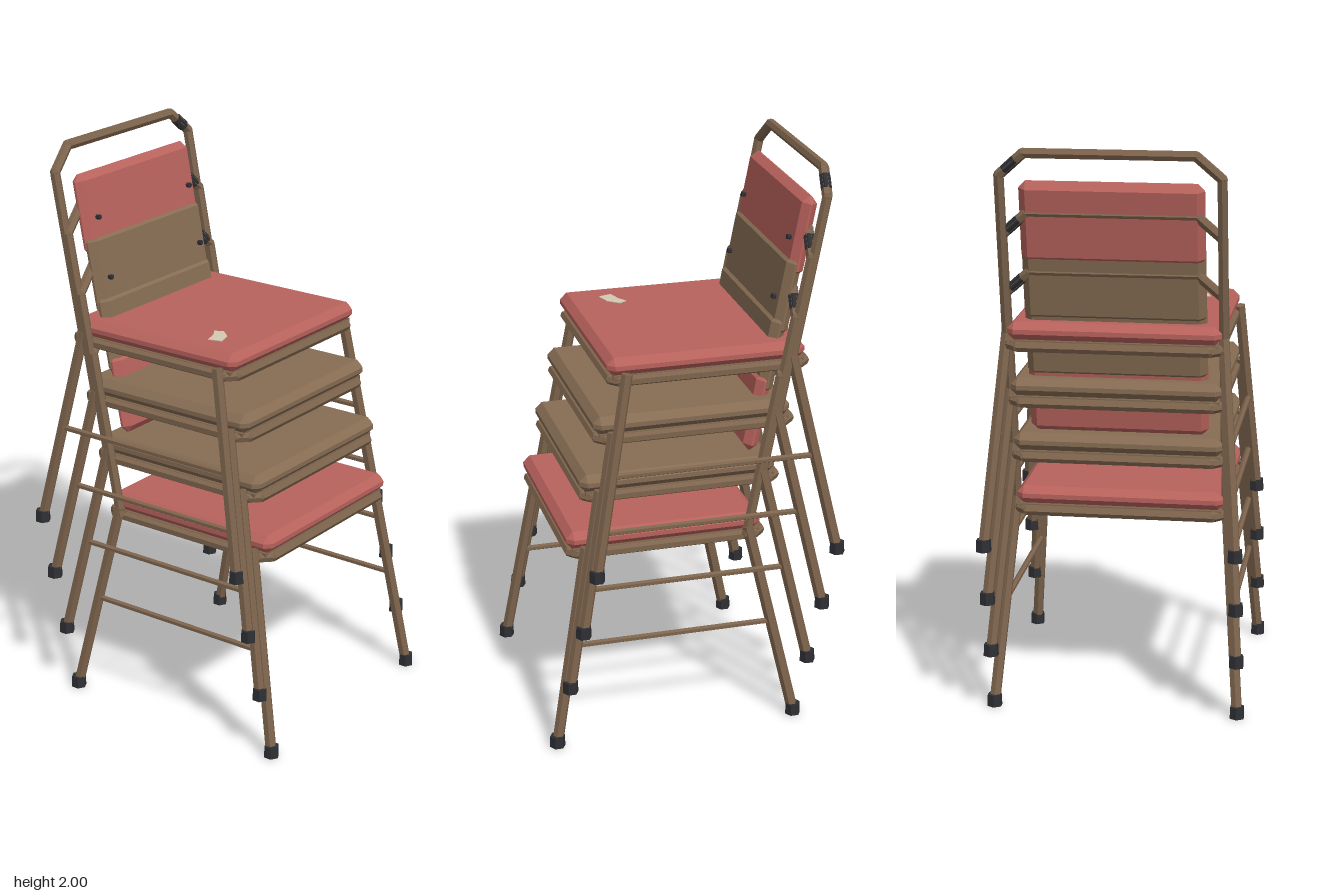
import * as THREE from 'three';
import { ConvexGeometry } from 'three/addons/geometries/ConvexGeometry.js';

const material = (name, color) => {
  const m = new THREE.MeshStandardMaterial({ color });
  m.name = name;
  return m;
};

const V = (x, y, z) => new THREE.Vector3(x, y, z);

// Faceted normals for low-poly metalwork
const faceted = (geometry) => {
  const g = geometry.toNonIndexed();
  g.computeVertexNormals();
  return g;
};

function add(parent, name, geometry, mat) {
  const mesh = new THREE.Mesh(geometry, mat);
  mesh.name = name;
  parent.add(mesh);
  return mesh;
}

// Six-sided bar from a to b
function rod(parent, name, a, b, radius, mat) {
  const dir = b.clone().sub(a);
  const geometry = faceted(new THREE.CylinderGeometry(radius, radius, dir.length(), 6));
  const mesh = add(parent, name, geometry, mat);
  mesh.position.copy(a).add(b).multiplyScalar(0.5);
  mesh.quaternion.setFromUnitVectors(V(0, 1, 0), dir.normalize());
  return mesh;
}

// Bent pipe: straight bars with a small ball in each bend
function pipe(parent, name, points, radius, mat, closed = false) {
  const group = new THREE.Group();
  group.name = name;
  const n = points.length;
  for (let i = 0; i < (closed ? n : n - 1); i++) {
    rod(group, name + 'Bar', points[i], points[(i + 1) % n], radius, mat);
  }
  for (let i = closed ? 0 : 1; i < (closed ? n : n - 1); i++) {
    add(group, name + 'Bend', faceted(new THREE.SphereGeometry(radius, 6, 4)), mat).position.copy(points[i]);
  }
  parent.add(group);
}

// Box with every edge chamfered by c
function chamferBox(w, h, d, c) {
  const points = [];
  for (const sx of [-1, 1]) for (const sy of [-1, 1]) for (const sz of [-1, 1]) {
    const x = w / 2, y = h / 2, z = d / 2;
    points.push(
      V(sx * x, sy * (y - c), sz * (z - c)),
      V(sx * (x - c), sy * y, sz * (z - c)),
      V(sx * (x - c), sy * (y - c), sz * z));
  }
  return new ConvexGeometry(points);
}

export function createModel() {
  const metal = material('brown metal', 0x7d644d);
  const red = material('red vinyl', 0xb8625c);
  const taupe = material('taupe vinyl', 0x866c53);
  const rubber = material('dark rubber', 0x2e2f33);
  const tear = material('pale stuffing', 0xd2c9b2);

  const lean = 0.192;              // backward tilt of the backrest
  const R = 0.018;

  function makeChair(cushion) {
    const chair = new THREE.Group();
    chair.name = 'chair';

    // Seat cushion, board and surrounding pipe frame
    add(chair, 'seatCushion', chamferBox(0.73, 0.064, 0.695, 0.024), cushion).position.set(0, 0.744, 0.0975);
    add(chair, 'seatBoard', new THREE.BoxGeometry(0.71, 0.026, 0.67), metal).position.set(0, 0.701, 0.09);
    const fx = 0.355, zf = 0.43, zb = -0.255, c = 0.03, y = 0.695;
    pipe(chair, 'seatFrame', [
      V(fx - c, y, zf), V(fx, y, zf - c), V(fx, y, zb + c), V(fx - c, y, zb),
      V(c - fx, y, zb), V(-fx, y, zb + c), V(-fx, y, zf - c), V(c - fx, y, zf),
    ], R, metal, true);

    // Legs, feet and side stretchers
    for (const s of [-1, 1]) {
      const legs = [
        ['frontLeg', V(s * 0.43, 0.01, 0.508), V(s * 0.37, 0.725, 0.382)],
        ['rearLeg', V(s * 0.43, 0.01, -0.358), V(s * 0.37, 0.735, -0.197)],
      ];
      for (const [name, foot, top] of legs) {
        rod(chair, name, foot, top, 0.02, metal);
        add(chair, 'foot', faceted(new THREE.CylinderGeometry(0.026, 0.028, 0.042, 6)), rubber)
          .position.set(foot.x, 0.021, foot.z);
      }
      rod(chair, 'sideStretcher', V(s * 0.4, 0.37, 0.445), V(s * 0.4, 0.37, -0.277), 0.011, metal);
    }

    // Back hoop with angled upper corners
    const at = (x, h) => V(x, h, -0.197 - (h - 0.72) * Math.tan(lean));
    pipe(chair, 'backHoop', [
      at(-0.37, 0.70), at(-0.37, 1.285), at(-0.285, 1.361),
      at(0.285, 1.361), at(0.37, 1.285), at(0.37, 0.70),
    ], R, metal);
    rod(chair, 'tapeWrap', at(0.35, 1.303), at(0.31, 1.339), R + 0.002, rubber);

    // Backrest pad with its two screws
    const back = new THREE.Group();
    back.name = 'backrest';
    back.position.set(0, 1.124, -0.252);
    back.rotation.x = -lean;
    add(back, 'backPad', chamferBox(0.62, 0.285, 0.055, 0.024), cushion);
    for (const s of [-1, 1]) {
      const screw = add(back, 'screw', faceted(new THREE.CylinderGeometry(0.009, 0.009, 0.02, 6)), rubber);
      screw.rotation.x = Math.PI / 2;
      screw.position.set(s * 0.255, -0.014, 0.033);
    }
    chair.add(back);
    return chair;
  }

  // Four nested chairs, each a step higher and further back
  const model = new THREE.Group();
  model.name = 'stackedChairs';
  [red, taupe, taupe, red].forEach((cushion, i) => {
    const chair = makeChair(cushion);
    chair.position.set(0, i * 0.2068, i * -0.05);
    model.add(chair);
  });

  // Torn patch on the top seat
  const outline = [[-0.276, 0.123], [-0.225, 0.108], [-0.194, 0.087], [-0.176, 0.114], [-0.21, 0.155], [-0.262, 0.171]];
  const shape = new THREE.Shape(outline.map(([x, z]) => new THREE.Vector2(x, -z)));
  const patch = new THREE.ExtrudeGeometry(shape, { depth: 0.004, bevelEnabled: false });
  patch.rotateX(-Math.PI / 2);
  add(model, 'tornPatch', patch, tear).position.y = 1.395;

  return model;
}
